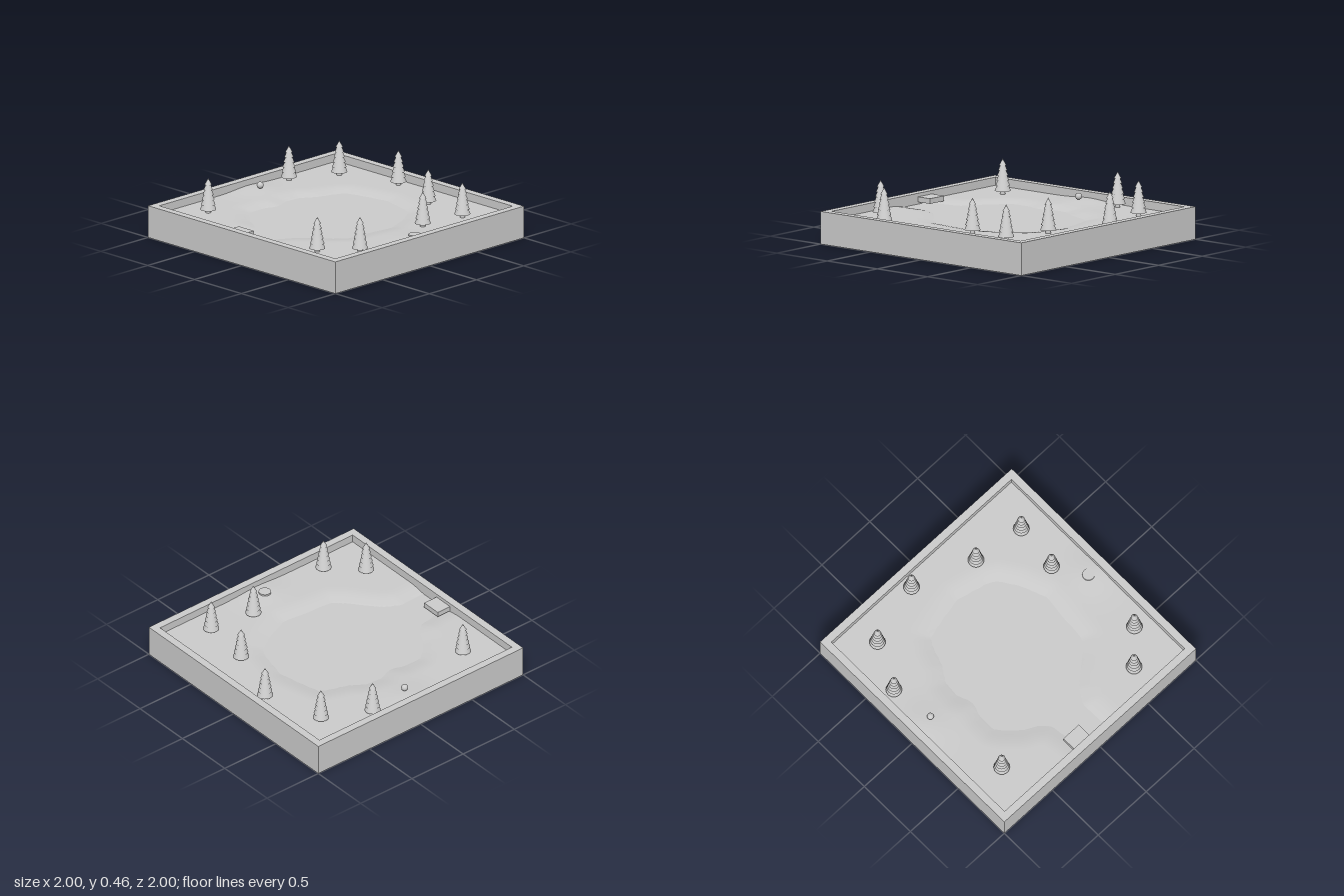
import * as THREE from 'three';

const INNER = 0.94;   // half width of the tray opening
const WATER = 0.167;  // water level
const material = new THREE.MeshStandardMaterial({ color: 0xcccccc, side: THREE.DoubleSide });

// shoreline of the pond and its outlet channel, as [x, z]
const shore = [
  [-1.1, -0.16], [-0.82, -0.17], [-0.66, -0.2], [-0.6, -0.27], [-0.55, -0.37], [-0.45, -0.48],
  [-0.38, -0.53], [-0.25, -0.53], [-0.12, -0.49], [0, -0.54], [0.13, -0.53], [0.25, -0.45],
  [0.4, -0.4], [0.47, -0.36], [0.5, -0.25], [0.53, -0.12], [0.55, 0], [0.52, 0.13],
  [0.49, 0.25], [0.45, 0.32], [0.3, 0.42], [0.1, 0.5], [-0.1, 0.48], [-0.33, 0.46],
  [-0.42, 0.38], [-0.5, 0.28], [-0.6, 0.17], [-0.72, 0.1], [-1.1, 0.11],
];

// signed distance to the shoreline, positive on land
function shoreDistance(x, z) {
  let best = Infinity, inside = false;
  shore.forEach(([ax, az], i) => {
    const [bx, bz] = shore[(i + 1) % shore.length];
    const dx = bx - ax, dz = bz - az;
    const t = THREE.MathUtils.clamp(((x - ax) * dx + (z - az) * dz) / (dx * dx + dz * dz), 0, 1);
    best = Math.min(best, Math.hypot(x - ax - t * dx, z - az - t * dz));
    if ((az > z) !== (bz > z) && x < ax + (z - az) * dx / dz) inside = !inside;
  });
  return inside ? -best : best;
}

// ground height: banks ease up from the water, with a low rise at the back and front
function groundHeight(x, z) {
  const d = shoreDistance(x, z);
  if (d < 0) return WATER - 0.03 * THREE.MathUtils.smoothstep(-d, 0, 0.1);
  const bank = 0.021 * Math.sin(Math.PI / 2 * Math.min(d / 0.16, 1));
  const rise = 0.018 * Math.exp(-(x * x + (Math.abs(z) - 0.88) ** 2) / 0.03);
  return WATER + bank + rise;
}

function add(parent, name, geometry, x = 0, y = 0, z = 0) {
  const mesh = new THREE.Mesh(geometry, material);
  mesh.name = name;
  mesh.position.set(x, y, z);
  parent.add(mesh);
  return mesh;
}

// square frame with a square opening
function frameGeometry(height) {
  const square = (P, r) => new P([[-r, -r], [r, -r], [r, r], [-r, r]].map(([x, y]) => new THREE.Vector2(x, y)));
  const shape = square(THREE.Shape, 1);
  shape.holes.push(square(THREE.Path, INNER));
  return new THREE.ExtrudeGeometry(shape, { depth: height, bevelEnabled: false }).rotateX(-Math.PI / 2);
}

function groundGeometry() {
  const geometry = new THREE.PlaneGeometry(2 * INNER, 2 * INNER, 72, 72).rotateX(-Math.PI / 2);
  const p = geometry.attributes.position;
  for (let i = 0; i < p.count; i++) p.setY(i, groundHeight(p.getX(i), p.getZ(i)));
  geometry.computeVertexNormals();
  return geometry;
}

// conifer: trunk and overlapping cone tiers that shrink towards the tip
function makeTree() {
  const tree = new THREE.Group();
  tree.name = 'tree';
  add(tree, 'trunk', new THREE.CylinderGeometry(0.018, 0.02, 0.06, 16), 0, 0.015, 0);
  const tiers = 6;
  for (let i = 0; i < tiers; i++) {
    const bottom = 0.028 + i * 0.039;
    const radius = 0.061 - i * 0.0068;
    const top = i === tiers - 1 ? 0 : radius - 0.017;
    const height = i === tiers - 1 ? 0.05 : 0.042;
    add(tree, 'foliageTier', new THREE.CylinderGeometry(top, radius, height, 24), 0, bottom + height / 2, 0);
  }
  return tree;
}

export function createModel() {
  const model = new THREE.Group();
  model.name = 'pondDiorama';

  // tray
  add(model, 'trayBase', new THREE.BoxGeometry(2, 0.12, 2), 0, 0.06, 0);
  add(model, 'trayWalls', frameGeometry(0.13), 0, 0.12, 0);

  // landscape
  add(model, 'ground', groundGeometry());
  add(model, 'water', new THREE.PlaneGeometry(2 * INNER, 2 * INNER).rotateX(-Math.PI / 2), 0, WATER, 0);

  // jetty beside the channel, a ball at the back and a round slab at the front
  add(model, 'jetty', new THREE.BoxGeometry(0.12, 0.04, 0.16), -0.88, 0.203, -0.13);
  add(model, 'ball', new THREE.SphereGeometry(0.026, 24, 16), 0, 0.235, -0.81);
  add(model, 'roundSlab', new THREE.CylinderGeometry(0.047, 0.047, 0.02, 32), 0, 0.205, 0.84);

  // trees around the shore, all reaching the same height
  const spots = [
    [-0.66, -0.7], [0.35, -0.855], [0.71, -0.68], [0.85, -0.19], [0.67, 0.31],
    [0.615, 0.73], [0.24, 0.685], [-0.54, 0.8], [-0.77, 0.575],
  ];
  for (const [x, z] of spots) {
    const tree = makeTree();
    tree.position.set(x, 0.187, z);
    model.add(tree);
  }
  return model;
}
